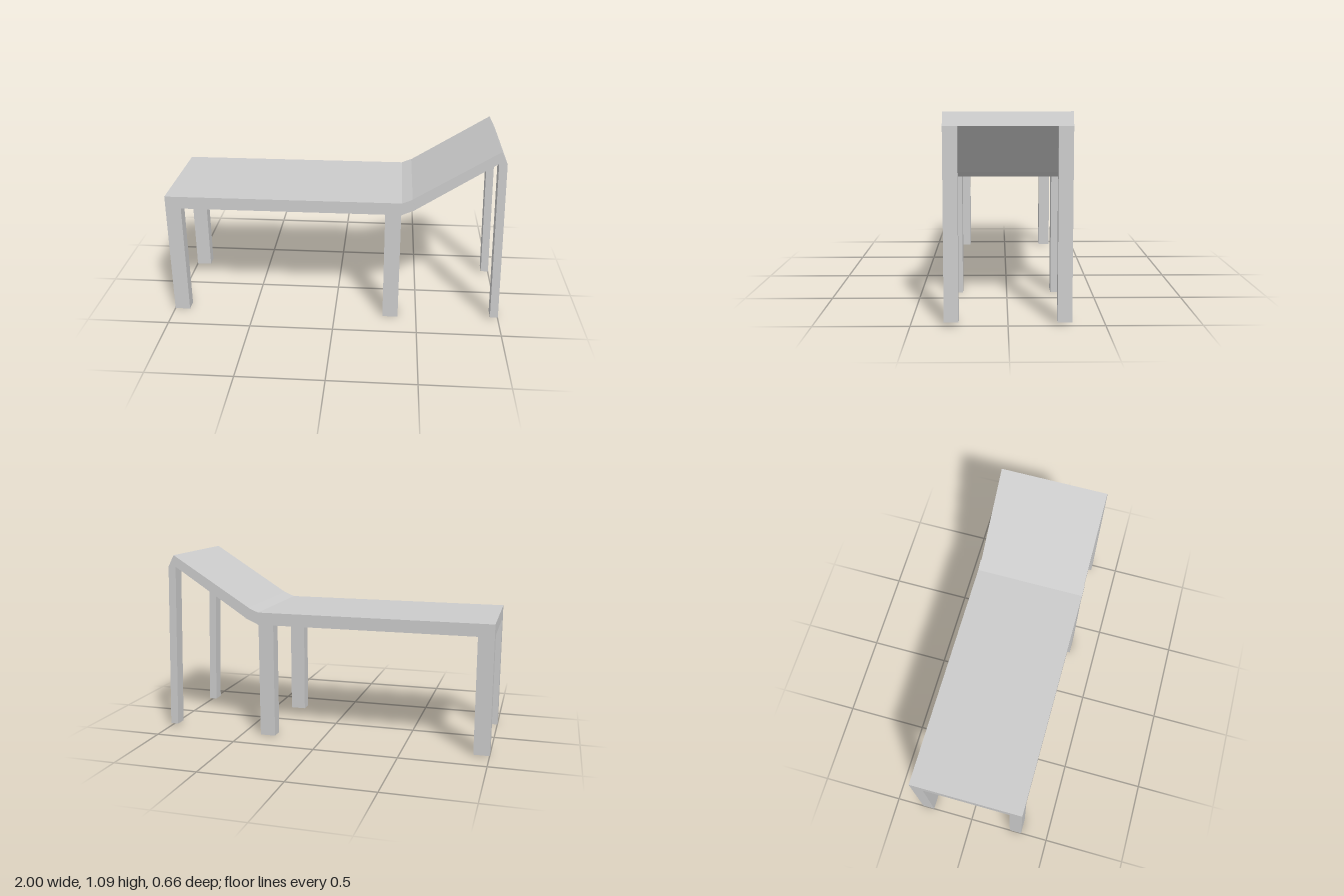
import * as THREE from 'three';

const material = new THREE.MeshStandardMaterial({ color: 0xcccccc, flatShading: true });

// Side profile in x/y, extruded from z0 to z1
function slab(name, points, z0, z1) {
  const shape = new THREE.Shape(points.map(([x, y]) => new THREE.Vector2(x, y)));
  const geometry = new THREE.ExtrudeGeometry(shape, { depth: z1 - z0, bevelEnabled: false });
  geometry.translate(0, 0, z0);
  const mesh = new THREE.Mesh(geometry, material);
  mesh.name = name;
  return mesh;
}

export function createModel() {
  const group = new THREE.Group();
  group.name = 'lounger';

  // Flat bed with the short bend that leads into the backrest
  group.add(slab('bed', [
    [-1, 0.688], [0.39, 0.688], [0.47, 0.724], [0.45, 0.787], [0.39, 0.762], [-1, 0.762],
  ], -0.332, 0.332));

  // Sloping backrest with its bevelled top edge
  group.add(slab('backrest', [
    [0.47, 0.724], [0.92, 1.018], [0.967, 1.018], [0.93, 1.088], [0.45, 0.787],
  ], -0.328, 0.328));

  for (const side of [1, -1]) {
    const label = side > 0 ? 'front' : 'rear';
    const range = (inner, outer) => (side > 0 ? [inner, outer] : [-outer, -inner]);

    // Straight legs under the bed
    for (const [end, x0, x1] of [['Foot', -1, -0.908], ['Middle', 0.295, 0.388]]) {
      group.add(slab(label + end + 'Leg', [
        [x0, 0], [x1, 0], [x1, 0.688], [x0, 0.688],
      ], ...range(0.257, 0.332)));
    }

    // Slim splayed legs holding up the backrest
    group.add(slab(label + 'BackrestLeg', [
      [0.95, 0.018], [0.998, 0.018], [0.967, 1.018], [0.92, 1.018],
    ], ...range(0.253, 0.328)));
  }

  return group;
}
